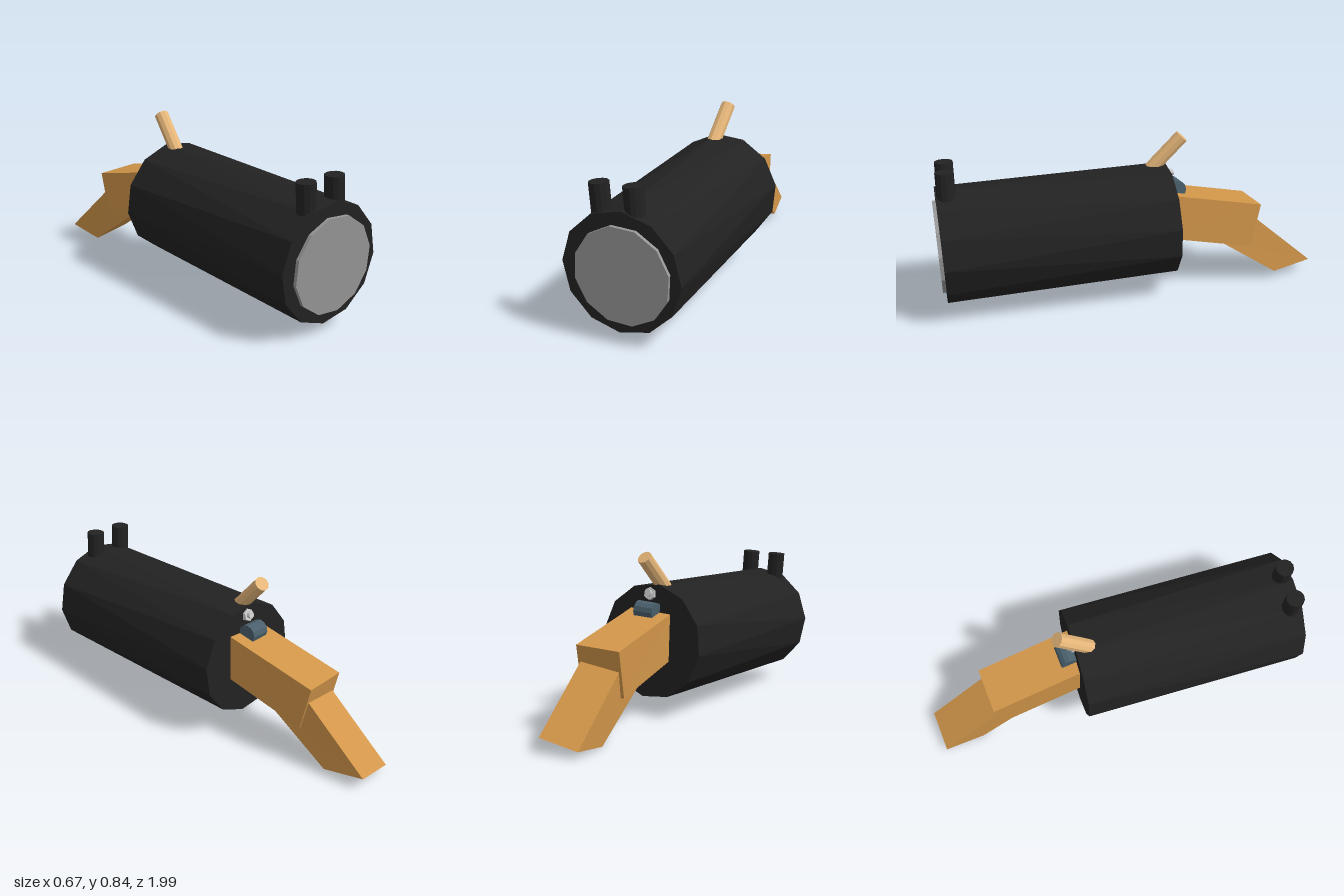
import * as THREE from 'three';

const mat = (color) => new THREE.MeshStandardMaterial({ color, flatShading: true });
const black = mat(0x222222), wood = mat(0xd2964a), paleWood = mat(0xe6b679);
const steel = mat(0x4a606c), grey = mat(0xcccccc), lensGrey = mat(0x969696);
const V = (x, y, z) => new THREE.Vector3(x, y, z);

function add(parent, name, geometry, material) {
  const mesh = new THREE.Mesh(geometry, material);
  mesh.name = name;
  parent.add(mesh);
  return mesh;
}

// Cylinder between two points, optionally twisted from end to end
function rod(parent, name, from, to, radius, sides, material, rollStart = 0, rollEnd = rollStart) {
  const g = new THREE.CylinderGeometry(radius, radius, from.distanceTo(to), sides).rotateX(Math.PI / 2);
  const p = g.attributes.position, v = V(0, 0, 0), axis = V(0, 0, 1);
  for (let i = 0; i < p.count; i++) {
    v.fromBufferAttribute(p, i);
    const roll = v.z > 0 ? rollEnd : rollStart;
    v.applyAxisAngle(axis, THREE.MathUtils.degToRad(roll));
    p.setXYZ(i, v.x, v.y, v.z);
  }
  g.computeVertexNormals();
  const mesh = add(parent, name, g, material);
  mesh.position.copy(from).lerp(to, 0.5);
  mesh.lookAt(to);
  return mesh;
}

// Four-sided block: corners [z, y, xCentre] of its +x side, given as
// front bottom, rear bottom, rear top, front top; the -x side sits lower by drop
function slab(parent, name, corners, width, drop) {
  const g = new THREE.BoxGeometry(1, 1, 1);
  const p = g.attributes.position;
  for (let i = 0; i < p.count; i++) {
    const left = p.getX(i) > 0, top = p.getY(i) > 0, front = p.getZ(i) > 0;
    const [z, y, x] = corners[top ? (front ? 3 : 2) : (front ? 0 : 1)];
    p.setXYZ(i, x + (left ? width / 2 : -width / 2), y - (left ? 0 : drop), z);
  }
  g.computeVertexNormals();
  return add(parent, name, g, wood);
}

export function createModel() {
  const model = new THREE.Group();
  model.name = 'handCannon';

  // Barrel, slightly skewed and twisted along its length
  const rear = V(0.047, 0.386, -0.215), front = V(-0.05, 0.35, 0.948);
  rod(model, 'barrel', rear, front, 0.292, 12, black, 9, -3);

  // Muzzle disc, just proud of the barrel
  const dir = front.clone().sub(rear).normalize();
  const centre = front.clone().add(V(0.01, -0.007, 0));
  rod(model, 'muzzleDisc', centre.clone().addScaledVector(dir, -0.02),
    centre.clone().addScaledVector(dir, 0.018), 0.235, 12, lensGrey, 11);

  // Pair of sight pegs above the muzzle
  for (const [x, y, z] of [[-0.165, 0.742, 0.89], [0.003, 0.747, 0.91]]) {
    rod(model, 'sightPeg', V(x + 0.014, y - 0.2, z), V(x, y, z), 0.046, 12, black);
  }

  // Wooden lever leaning back from the top
  rod(model, 'lever', V(0, 0.6, -0.09), V(0.038, 0.816, -0.288), 0.037, 10, paleWood);

  // Stock and bent grip
  slab(model, 'stock', [
    [-0.19, 0.315, 0.055], [-0.64, 0.21, 0.06], [-0.69, 0.44, 0.053], [-0.19, 0.55, 0.05],
  ], 0.235, 0.012);
  slab(model, 'grip', [
    [-0.47, 0.257, 0.07], [-0.79, 0.04, 0.072], [-1.0, 0.075, 0.06], [-0.62, 0.403, 0.055],
  ], 0.208, 0.035);

  // Cross pin on the stock and bolt in the breech
  rod(model, 'crossPin', V(-0.005, 0.542, -0.248), V(0.1, 0.55, -0.248), 0.047, 12, steel);
  rod(model, 'boltHead', V(0.05, 0.62, -0.19), V(0.05, 0.63, -0.222), 0.032, 6, grey);
  rod(model, 'boltTip', V(0.05, 0.625, -0.2), V(0.05, 0.634, -0.238), 0.018, 8, grey);

  return model;
}
